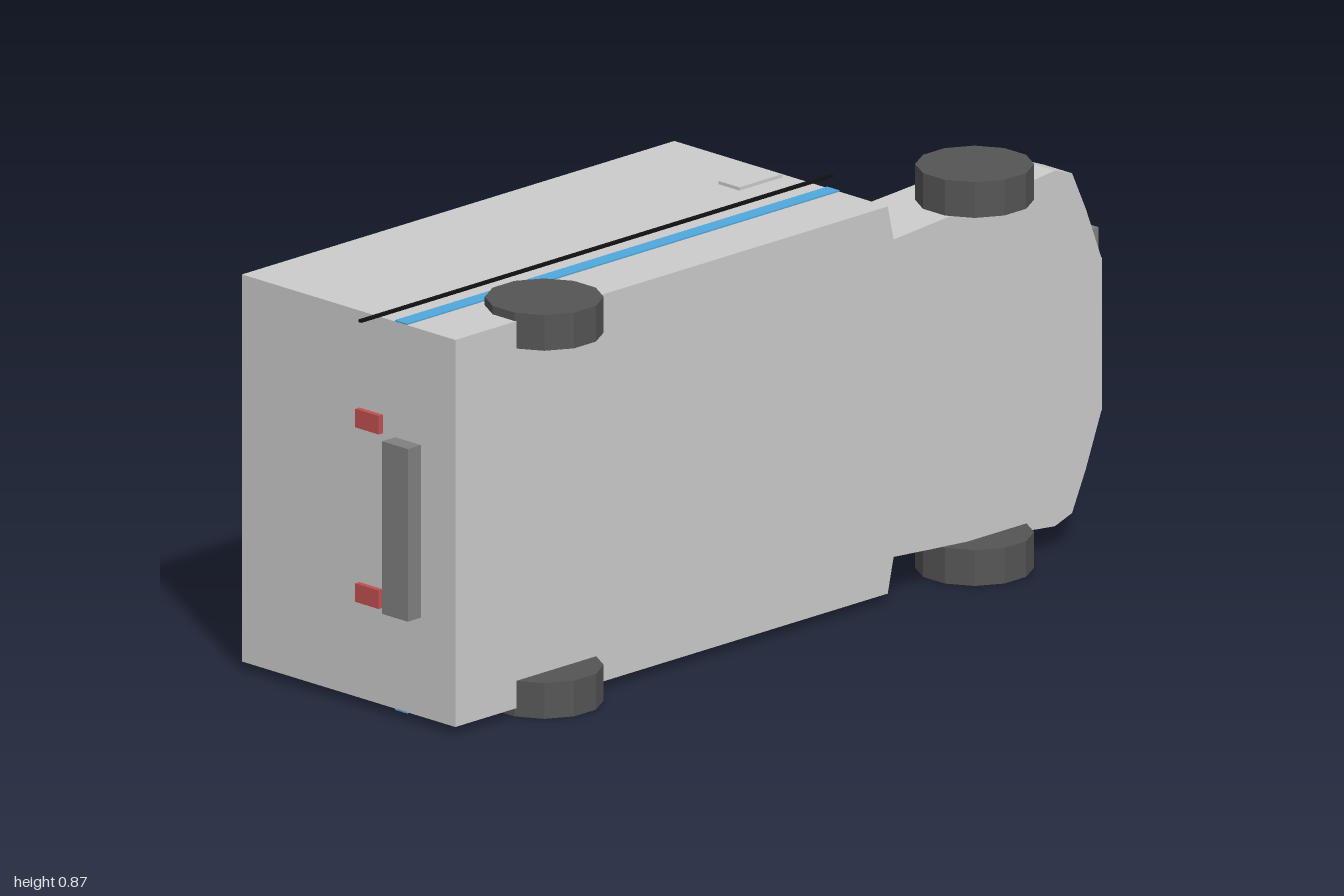
import * as THREE from 'three';

// Built upright (x = forward, y = up, z = across), then laid on its side.
const mat = (color) => new THREE.MeshStandardMaterial({ color, flatShading: true });
const grey = mat(0xcccccc), blue = mat(0x4fa8dc), glass = mat(0xa9d8ea), dark = mat(0x3a3a3a),
  tyre = mat(0x555555), steel = mat(0x808080), black = mat(0x111111), red = mat(0xc05050),
  cream = mat(0xf2eccf);

// Cab stations: x, top height, top half-width, shoulder height, shoulder half-width
const stations = [
  [0.335, 0.348, 0.417, -0.08, 0.417],
  [0.352, 0.26, 0.218, -0.08, 0.342],
  [0.405, 0.11, 0.25, -0.08, 0.346],
  [0.455, 0.05, 0.242, -0.08, 0.35],
  [0.54, -0.02, 0.235, -0.082, 0.356],
  [0.61, -0.047, 0.238, -0.085, 0.362],
  [0.7, -0.06, 0.255, -0.098, 0.37],
  [0.77, -0.08, 0.27, -0.12, 0.378],
  [0.82, -0.108, 0.272, -0.145, 0.383],
  [0.87, -0.15, 0.26, -0.187, 0.366],
  [0.91, -0.197, 0.225, -0.222, 0.28],
  [0.955, -0.265, 0.15, -0.267, 0.165],
  [0.957, -0.27, 0.15, -0.27, 0.165],
];
const FLOOR = -0.27;

function ring([x, top, topHalf, shoulder, half]) {
  return [
    [x, FLOOR, -half], [x, shoulder, -half], [x, top, -topHalf],
    [x, top, topHalf], [x, shoulder, half], [x, FLOOR, half],
  ];
}

// Loft only the panels accepted by keep(station, side)
function loft(keep) {
  const pos = [];
  const rings = stations.map(ring);
  for (let i = 0; i < rings.length - 1; i++) {
    const a = rings[i], b = rings[i + 1];
    for (let j = 0; j < 6; j++) {
      if (!keep(i, j)) continue;
      const k = (j + 1) % 6;
      pos.push(...a[j], ...a[k], ...b[j], ...a[k], ...b[k], ...b[j]);
    }
  }
  const g = new THREE.BufferGeometry();
  g.setAttribute('position', new THREE.Float32BufferAttribute(pos, 3));
  g.computeVertexNormals();
  return g;
}

export function createModel() {
  const model = new THREE.Group();
  const van = new THREE.Group();
  van.name = 'van';
  van.rotation.x = -Math.PI / 2;
  van.position.y = 0.437;
  model.add(van);

  const add = (name, geometry, material) => {
    const m = new THREE.Mesh(geometry, material);
    m.name = name;
    van.add(m);
    return m;
  };
  // Box given by its minimum and maximum on each axis
  const box = (name, material, x0, x1, y0, y1, z0, z1) => {
    const m = add(name, new THREE.BoxGeometry(x1 - x0, y1 - y0, z1 - z0), material);
    m.position.set((x0 + x1) / 2, (y0 + y1) / 2, (z0 + z1) / 2);
    return m;
  };

  // Cargo body and cab
  box('cargoBody', grey, -0.92, 0.335, FLOOR, 0.348, -0.417, 0.417);
  const isWindow = (i, j) => i >= 2 && i <= 3 && (j === 1 || j === 3);
  add('cab', loft((i, j) => !isWindow(i, j)), grey);
  add('cabWindows', loft(isWindow), glass);

  // Parts repeated on both sides
  for (const s of [-1, 1]) {
    for (const x of [-0.627, 0.622]) {
      const wheel = add('wheel', new THREE.CylinderGeometry(0.122, 0.122, 0.077, 12), tyre);
      wheel.geometry.rotateY(Math.PI / 12);
      wheel.rotation.x = Math.PI / 2;
      wheel.position.set(x, -0.235, s * 0.3965);
    }
    const z = s * 0.4175;
    box('sideStripe', blue, -0.92, 0.335, -0.13, -0.095, z - 0.0025, z + 0.0025);
    box('headlight', cream, 0.868, 0.895, -0.155, -0.113, s * 0.23 - 0.036, s * 0.23 + 0.036);
    box('tailLight', red, -0.932, -0.915, -0.06, 0.008, s * 0.188 - 0.02, s * 0.188 + 0.02);
    box('reverseLight', grey, -0.93, -0.915, -0.113, -0.097, s * 0.147 - 0.009, s * 0.147 + 0.009);
  }

  // Bumpers, grille and rear plate
  box('frontBumper', steel, 0.955, 1, -0.217, -0.14, -0.207, 0.208);
  box('rearBumper', steel, -1, -0.962, -0.212, -0.138, -0.185, 0.187);
  box('grille', steel, 0.86, 0.905, -0.215, -0.128, -0.133, 0.133);
  box('grilleInset', dark, 0.9, 0.91, -0.205, -0.136, -0.125, 0.125);
  box('rearPlate', dark, -0.932, -0.915, -0.13, -0.095, -0.055, 0.055);

  // Side rail, side panel, mirror and roof beacon
  box('sideRail', black, -0.98, 0.39, -0.058, -0.05, 0.419, 0.425);
  box('sidePanel', grey, 0.195, 0.32, 0.02, 0.08, 0.415, 0.424);
  box('mirror', grey, 0.39, 0.437, 0.013, 0.045, -0.425, -0.392);
  add('roofBeacon', new THREE.SphereGeometry(0.01, 12, 8), black).position.set(0.342, 0.346, 0);

  return model;
}
